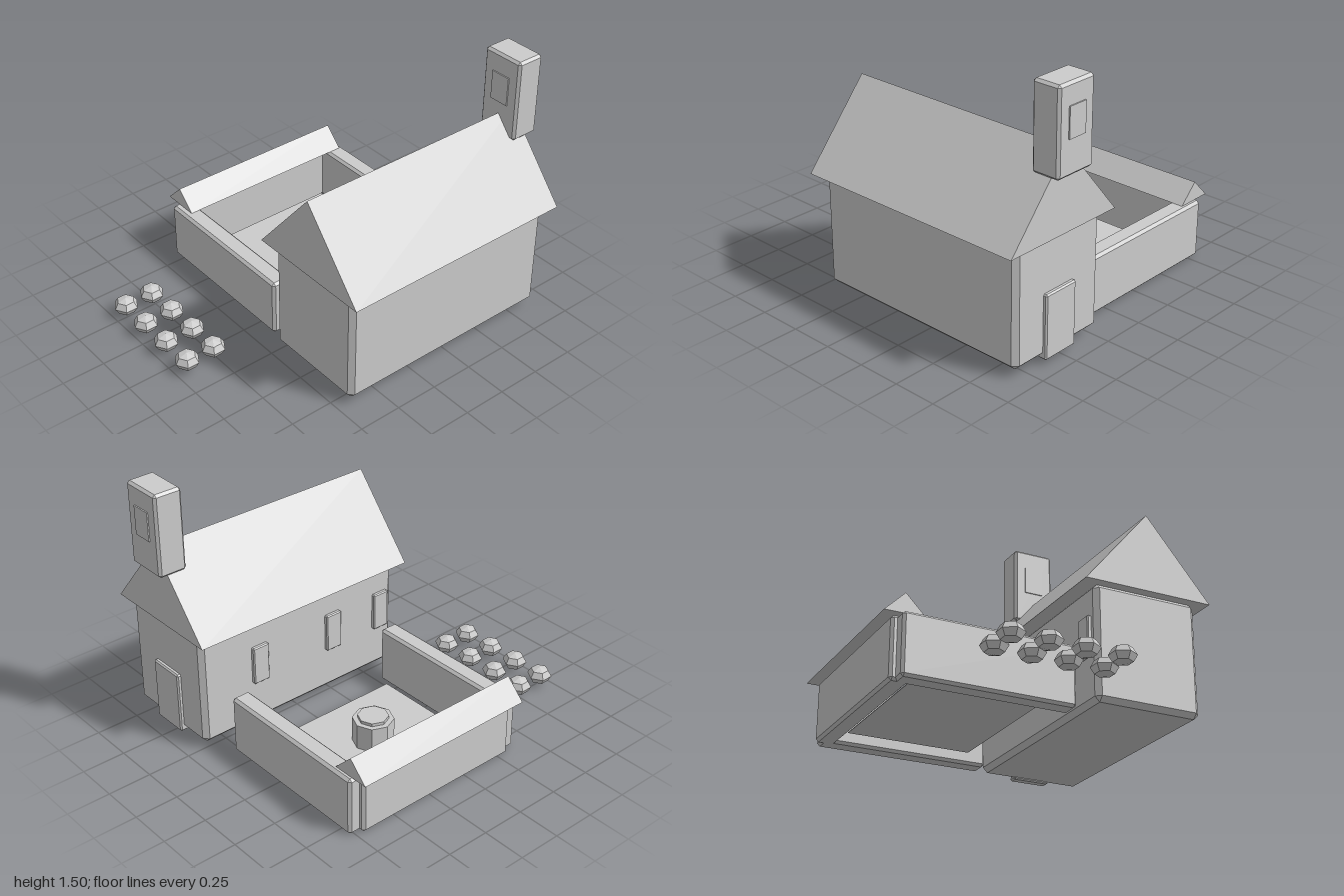
import * as THREE from 'three';
import { ConvexGeometry } from 'three/addons/geometries/ConvexGeometry.js';

const stone = new THREE.MeshStandardMaterial({ color: 0xcccccc });
stone.name = 'plainGrey';

// Box between two corners with every edge chamfered by c
function chamferBox([x0, y0, z0], [x1, y1, z1], c) {
  const half = [(x1 - x0) / 2, (y1 - y0) / 2, (z1 - z0) / 2];
  const points = [];
  for (const sx of [-1, 1]) for (const sy of [-1, 1]) for (const sz of [-1, 1]) {
    for (let axis = 0; axis < 3; axis++) {
      const [hx, hy, hz] = half.map((h, i) => (i === axis ? h : h - c));
      points.push(new THREE.Vector3(sx * hx, sy * hy, sz * hz));
    }
  }
  const geometry = new ConvexGeometry(points);
  geometry.translate((x0 + x1) / 2, (y0 + y1) / 2, (z0 + z1) / 2);
  return geometry;
}

// Closed triangular roof running along z
function gable(x0, x1, y0, y1, z0, z1) {
  const shape = new THREE.Shape();
  shape.moveTo(x0, y0);
  shape.lineTo(x1, y0);
  shape.lineTo((x0 + x1) / 2, y1);
  shape.closePath();
  const geometry = new THREE.ExtrudeGeometry(shape, { depth: z1 - z0, bevelEnabled: false });
  geometry.translate(0, 0, z0);
  return geometry;
}

// Flat-shaded eight-sided drum standing on y0
function drum(radius, y0, y1) {
  const geometry = new THREE.CylinderGeometry(radius, radius, y1 - y0, 8).toNonIndexed();
  geometry.computeVertexNormals();
  geometry.translate(0, (y0 + y1) / 2, 0);
  return geometry;
}

export function createModel() {
  const model = new THREE.Group();
  model.name = 'farmstead';

  function add(name, geometry, parent = model) {
    const mesh = new THREE.Mesh(geometry, stone);
    mesh.name = name;
    parent.add(mesh);
    return mesh;
  }
  function group(name) {
    const g = new THREE.Group();
    g.name = name;
    model.add(g);
    return g;
  }

  // House with gabled roof
  const house = group('house');
  add('houseBody', chamferBox([0.221, 0.041, -0.902], [0.841, 0.697, 0.441], 0.028), house);
  add('houseRoof', gable(0.15, 0.912, 0.693, 1.145, -0.935, 0.476), house);
  add('door', chamferBox([0.422, 0.029, -0.924], [0.642, 0.395, -0.865], 0.008), house);
  for (const z of [-0.522, -0.01, 0.34]) {
    add('window', chamferBox([0.199, 0.298, z - 0.052], [0.24, 0.524, z + 0.052], 0.006), house);
  }

  // Chimney with a raised panel on its front and back
  add('chimney', chamferBox([0.404, 1.022, -0.993], [0.656, 1.495, -0.826], 0.014), house);
  const panel = add('chimneyPanel', new THREE.BoxGeometry(0.116, 0.165, 0.181), house);
  panel.position.set(0.53, 1.298, -0.9095);

  // Courtyard: three walls, one with a small roof, and a raised floor
  const yard = group('courtyard');
  add('frontWall', chamferBox([-0.823, 0, 0.278], [0.133, 0.34, 0.39], 0.015), yard);
  add('backWall', chamferBox([-0.823, 0, -0.779], [0.133, 0.34, -0.668], 0.015), yard);
  add('sideWall', chamferBox([-0.854, 0, -0.715], [-0.745, 0.34, 0.316], 0.015), yard);
  add('sideWallRoof', gable(-0.909, -0.687, 0.341, 0.452, -0.752, 0.35), yard);
  const floor = add('yardFloor', new THREE.BoxGeometry(0.71, 0.004, 0.842), yard);
  floor.position.set(-0.347, 0.052, -0.204);

  // Eight-sided well with a smaller lid
  add('well', drum(0.114, 0.05, 0.2), yard).position.set(-0.347, 0, -0.203);
  add('wellLid', drum(0.085, 0.2, 0.218), yard).position.set(-0.347, 0, -0.203);

  // Two rows of low-poly bushes
  const bushes = group('bushes');
  const bush = new THREE.SphereGeometry(0.071, 6, 4).toNonIndexed();
  bush.rotateY(Math.PI / 2);
  bush.scale(1, 0.7, 1);
  bush.computeVertexNormals();
  for (const z of [0.759, 0.929]) {
    for (let i = 0; i < 4; i++) {
      add('bush', bush, bushes).position.set(-0.516 + i * 0.197, 0.072, z);
    }
  }
  return model;
}
